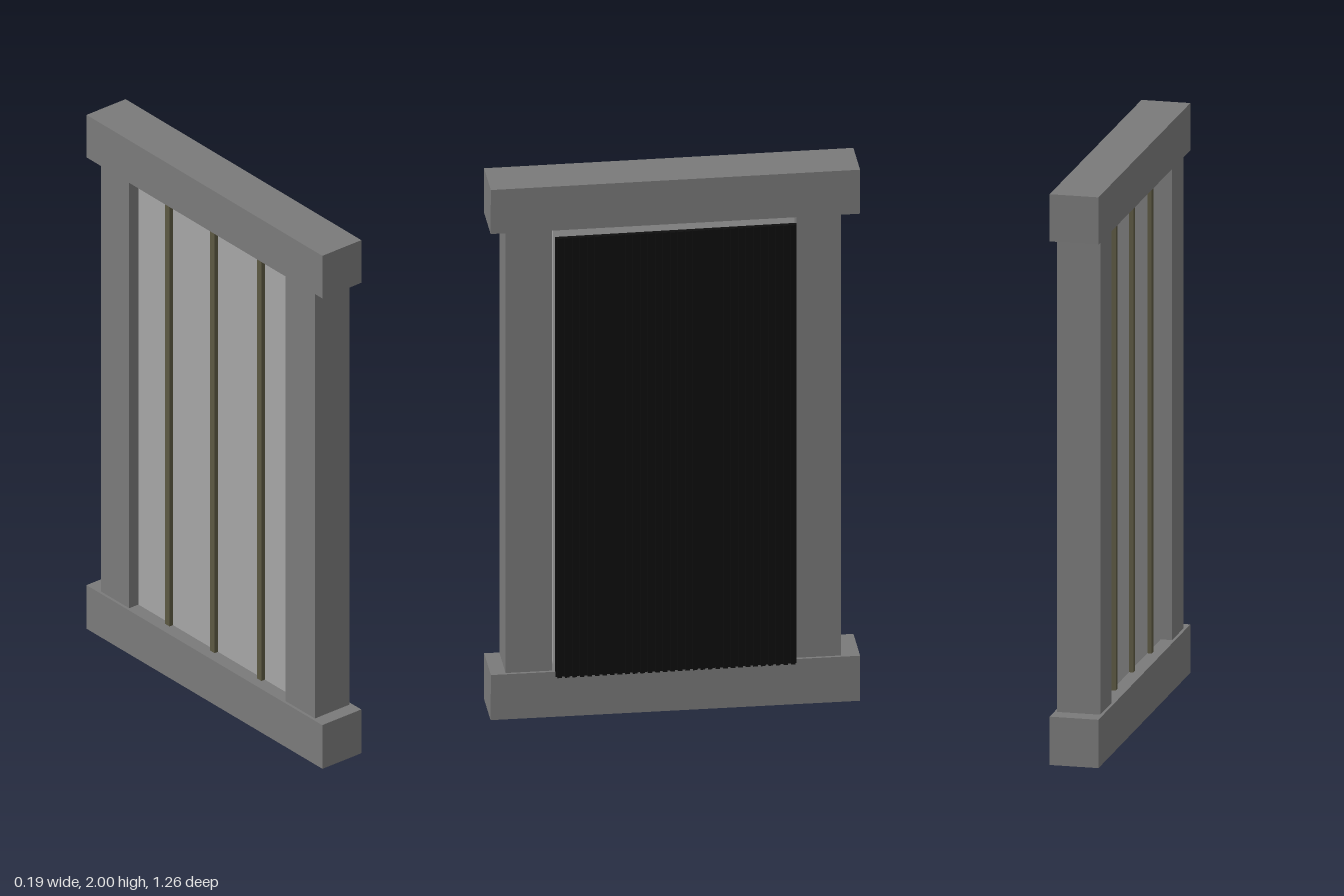
import * as THREE from 'three';

const flat = (name, color) => {
  const m = new THREE.MeshStandardMaterial({ color });
  m.name = name;
  return m;
};

export function createModel() {
  const frame = flat('frameGrey', 0x7a7a7a);
  const board = flat('boardGrey', 0xa6a6a6);
  const black = flat('screenBlack', 0x0e0e0e);
  const olive = flat('battenOlive', 0x5c5842);
  const group = new THREE.Group();
  group.name = 'framedPanel';

  // Box given by its [min, max] extent along each axis
  const box = (name, material, x, y, z, parent = group) => {
    const mesh = new THREE.Mesh(
      new THREE.BoxGeometry(x[1] - x[0], y[1] - y[0], z[1] - z[0]), material);
    mesh.position.set((x[0] + x[1]) / 2, (y[0] + y[1]) / 2, (z[0] + z[1]) / 2);
    mesh.name = name;
    parent.add(mesh);
    return mesh;
  };

  // Rails, each slightly out of level
  box('topRail', frame, [-0.095, 0.075], [1.832, 1.997], [-0.627, 0.63]).rotation.x = -0.004;
  box('bottomRail', frame, [-0.095, 0.075], [0.006, 0.175], [-0.627, 0.63]).rotation.x = -0.007;

  // Side posts
  box('frontPost', frame, [-0.085, 0.065], [0.16, 1.85], [0.42, 0.578]);
  box('backPost', frame, [-0.085, 0.065], [0.16, 1.85], [-0.563, -0.412]);

  // Recessed board with thin upright battens on its left face
  box('board', board, [-0.045, 0.01], [0.16, 1.85], [-0.412, 0.41]);
  for (const z of [-0.24, 0, 0.25]) {
    box('batten', olive, [-0.06, -0.044], [0.16, 1.85], [z - 0.0125, z + 0.0125]);
  }

  // Dark screen: a backing sheet with fine upright ribs
  const screen = new THREE.Group();
  screen.name = 'screen';
  group.add(screen);
  box('screenBacking', black, [0.066, 0.08], [0.16, 1.805], [-0.411, 0.41], screen);
  const ribs = 32, pitch = 0.821 / ribs;
  for (let i = 0; i < ribs; i++) {
    const z = -0.411 + (i + 0.5) * pitch;
    box('screenRib', black, [0.079, 0.09], [0.16, 1.808], [z - pitch * 0.3, z + pitch * 0.3], screen);
  }
  return group;
}
